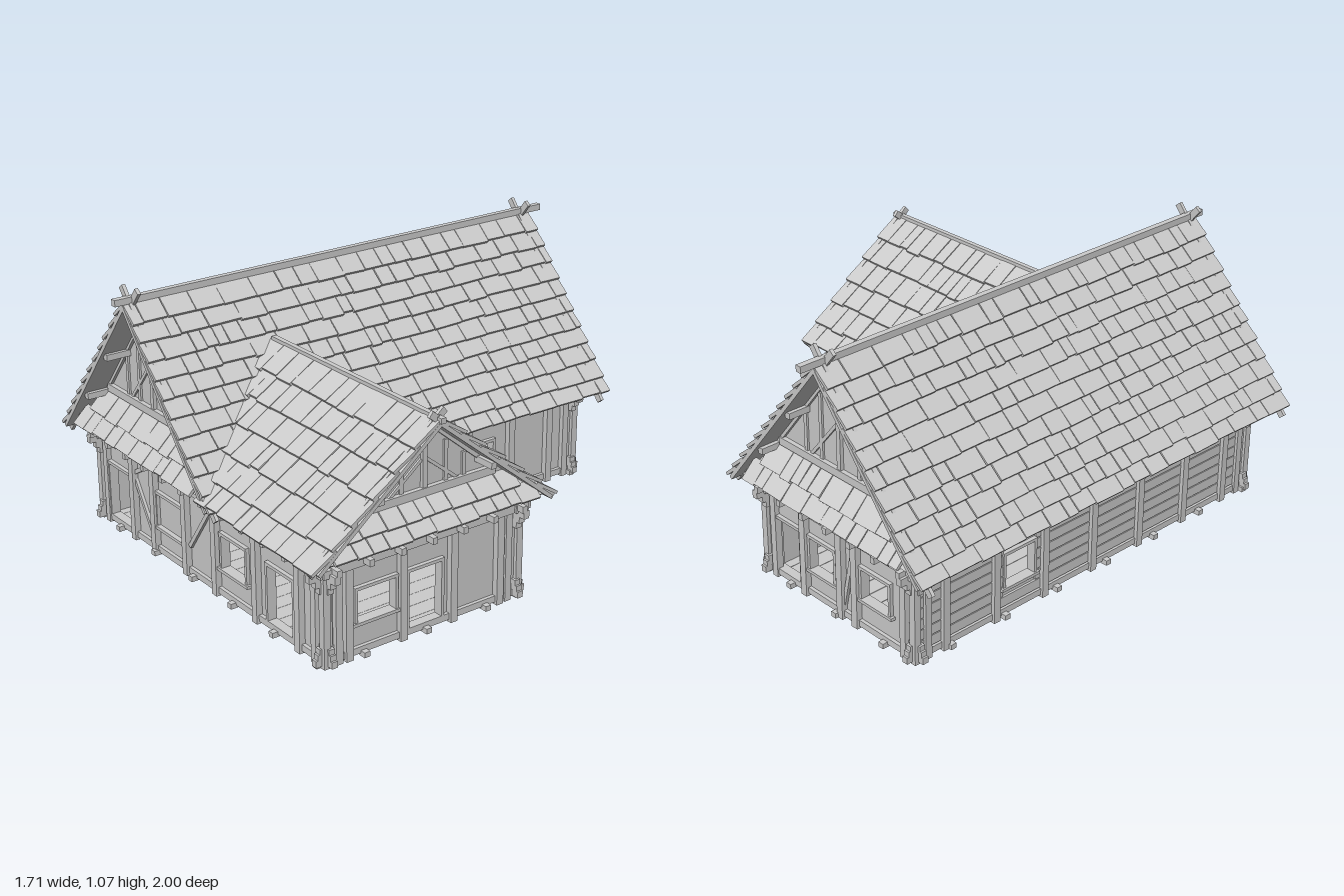
import * as THREE from 'three';
import { mergeGeometries } from 'three/addons/utils/BufferGeometryUtils.js';

const mat = new THREE.MeshStandardMaterial({ color: 0xcccccc, flatShading: true, side: THREE.DoubleSide });
const V = (x, y, z) => new THREE.Vector3(x, y, z);
let seed = 7;
const rnd = (a, b) => {
  seed = (seed * 16807) % 2147483647;
  return a + (b - a) * (seed / 2147483647);
};

function mesh(parent, name, geo) {
  const m = new THREE.Mesh(geo, mat);
  m.name = name;
  parent.add(m);
  return m;
}
// Box given by its lower and upper limits on each axis
function box(parent, name, x0, x1, y0, y1, z0, z1) {
  const m = mesh(parent, name, new THREE.BoxGeometry(x1 - x0, y1 - y0, z1 - z0));
  m.position.set((x0 + x1) / 2, (y0 + y1) / 2, (z0 + z1) / 2);
  return m;
}
// Square timber between two points of the parent's frame
function beam(parent, name, a, b, w, h = w) {
  const m = mesh(parent, name, new THREE.BoxGeometry(w, h, a.distanceTo(b)));
  m.position.copy(a).lerp(b, 0.5);
  m.quaternion.setFromRotationMatrix(new THREE.Matrix4().lookAt(b, a, V(0, 1, 0)));
  return m;
}
function polygon(points) {
  return new THREE.Shape(points.map(([x, y]) => new THREE.Vector2(x, y)));
}
const rect = ([u0, u1, y0, y1]) => polygon([[u0, y0], [u1, y0], [u1, y1], [u0, y1]]);

// Roof plane: local x along the eave, y outwards, z down the slope
function roofSlope(parent, name, ridge, dir, run, drop, courses, maxWidth, range) {
  const g = new THREE.Group();
  g.name = name;
  const len = Math.hypot(run, drop), c = run / len, s = drop / len;
  const n = dir.clone().multiplyScalar(s).add(V(0, c, 0));
  const v = dir.clone().multiplyScalar(c).add(V(0, -s, 0));
  g.applyMatrix4(new THREE.Matrix4().makeBasis(n.clone().cross(v), n, v).setPosition(ridge));
  parent.add(g);
  const [a, b] = range(0), [d, e] = range(1);
  const deck = new THREE.ExtrudeGeometry(polygon([[a, 0], [b, 0], [e, len - 0.01], [d, len - 0.01]]),
    { depth: 0.015, bevelEnabled: false });
  mesh(g, 'roofDeck', deck.rotateX(Math.PI / 2));
  // Overlapping shingles of uneven width, one course after another
  const h = len / courses, parts = [];
  for (let i = 0; i < courses; i++) {
    const [u0, u1] = range((i + 0.5) / courses);
    const stretch = i < courses - 1 ? 1.12 : 0.97;
    for (let u = u0; u < u1 - 0.01;) {
      let w = rnd(0.045, maxWidth);
      if (u + w > u1 - 0.03) w = u1 - u;
      const l = h * rnd(stretch, stretch + 0.1);
      const p = new THREE.BoxGeometry(w - rnd(0.001, 0.005), 0.012, l);
      p.rotateX(-0.014 / h + rnd(-0.02, 0.02)).rotateY(rnd(-0.02, 0.02));
      parts.push(p.translate(u + w / 2, 0.009, i * h + l / 2));
      u += w;
    }
  }
  mesh(g, 'shingles', mergeGeometries(parts));
}

// Timber-framed wall: local x along it, local z outwards
function wall(parent, name, pos, rot, u0, u1, holes, posts, braces = [], shutters = []) {
  const g = new THREE.Group();
  g.name = name;
  g.position.copy(pos);
  g.rotation.y = rot;
  parent.add(g);
  const s = rect([u0, u1, 0.03, 0.39]);
  holes.forEach(o => s.holes.push(rect(o)));
  mesh(g, 'wallPanel', new THREE.ExtrudeGeometry(s, { depth: 0.024, bevelEnabled: false })).position.z = -0.03;
  [...holes, ...shutters].forEach(([a, b, c, d]) => {
    const t = 0.012;
    box(g, 'frameSide', a - t, a, c, d + t, -0.03, 0.008);
    box(g, 'frameSide', b, b + t, c, d + t, -0.03, 0.008);
    box(g, 'frameHead', a - t, b + t, d, d + t, -0.03, 0.01);
    if (c > 0.06) box(g, 'frameSill', a - t - 0.01, b + t + 0.01, c - t, c, -0.03, 0.014);
  });
  posts.forEach(u => box(g, 'post', u - 0.015, u + 0.015, 0.02, 0.385, -0.03, 0.018));
  braces.forEach(([a, b, c, d]) => beam(g, 'brace', V(a, b, -0.002), V(c, d, -0.002), 0.016));
  box(g, 'sillBeam', u0, u1, 0.03, 0.055, -0.03, 0.008);
  box(g, 'topPlate', u0 - 0.03, u1 + 0.03, 0.365, 0.395, -0.035, 0.022);
  const k = Math.round((u1 - u0) / 0.13);
  for (let i = 0; i <= k; i++) {
    const u = u0 + 0.02 + (u1 - u0 - 0.04) * i / k;
    box(g, 'joistEnd', u - 0.01, u + 0.01, 0.375, 0.4, -0.03, 0.06);
    if (i % 2) box(g, 'floorJoistEnd', u - 0.012, u + 0.012, 0.02, 0.04, -0.03, 0.03);
  }
  return g;
}

// Gable with framing; local x across, origin on the centre line
function gable(parent, name, pos, rot, top, half, base, tie, vent) {
  const g = new THREE.Group();
  g.name = name;
  g.position.copy(pos);
  g.rotation.y = rot;
  parent.add(g);
  const at = y => half * (top - y) / (top - base);
  const s = polygon([[-half, base], [half, base], [0, top]]);
  if (vent) s.holes.push(polygon([[-0.055, vent], [0.055, vent], [0.018, vent + 0.075], [-0.018, vent + 0.075]]));
  mesh(g, 'gablePanel', new THREE.ExtrudeGeometry(s, { depth: 0.02, bevelEnabled: false })).position.z = -0.02;
  box(g, 'tieBeam', -at(tie) + 0.01, at(tie) - 0.01, tie - 0.015, tie + 0.015, -0.02, 0.018);
  box(g, 'kingPost', -0.01, 0.01, tie, top - 0.03, -0.02, 0.014);
  if (vent) box(g, 'collarBeam', -at(vent), at(vent), vent - 0.015, vent, -0.02, 0.014);
  for (const m of [-1, 1]) {
    for (const f of [0.3, 0.55]) {
      const x = at(tie) * f, y = tie + (top - tie) * (1 - f);
      box(g, 'stud', m * x - 0.008, m * x + 0.008, tie, Math.min(y, vent || y) - 0.02, -0.01, 0.008);
    }
    const q = tie + (top - tie) * 0.45;
    beam(g, 'gableBrace', V(m * at(tie) * 0.5, tie, 0.002), V(m * 0.01, q, 0.002), 0.012);
    beam(g, 'gableRafter', V(m * half, base, 0), V(0, top, 0), 0.025, 0.02);
  }
}

// Crossing barge boards on a roof edge
function bargeBoards(parent, pos, rot, run, drop, horn) {
  const g = new THREE.Group();
  g.name = 'bargeBoards';
  g.position.copy(pos);
  g.rotation.y = rot;
  parent.add(g);
  for (const m of [-1, 1]) {
    const z = m * 0.006;
    beam(g, 'bargeBoard', V(m * run, -drop, z), V(-m * horn, horn * drop / run, z), 0.014, 0.026);
  }
}

// Stepped bracket stack at an outer corner, facing (sx, sz)
function cornerStack(parent, x, z, sx, sz) {
  const g = new THREE.Group();
  g.name = 'cornerStack';
  g.position.set(x, 0, z);
  parent.add(g);
  const arm = (y0, y1, r) => {
    const y = (y0 + y1) / 2, h = y1 - y0;
    beam(g, 'bracketArm', V(-sx * 0.05, y, -sz * 0.012), V(sx * r, y, -sz * 0.012), 0.024, h);
    beam(g, 'bracketArm', V(-sx * 0.012, y, -sz * 0.05), V(-sx * 0.012, y, sz * r), 0.024, h);
  };
  [[0.03, 0.055, 0.038], [0.055, 0.075, 0.03], [0.075, 0.095, 0.022],
    [0.3, 0.325, 0.02], [0.325, 0.35, 0.035], [0.35, 0.38, 0.06]].forEach(a => arm(...a));
  for (const [a, b] of [[0, 0], [0.05, 0], [0, 0.05]])
    box(g, 'cornerPost', -sx * a - 0.014, -sx * a + 0.014, 0.02, 0.385, -sz * b - 0.014, -sz * b + 0.014);
}

export function createModel() {
  const house = new THREE.Group();
  house.name = 'house';
  const H = Math.PI / 2;

  // Floor with plank joints
  for (let i = 0; i < 12; i++) {
    const x0 = -0.72 + i * 0.8 / 12;
    box(house, 'mainFloorPlank', x0, x0 + 0.065, 0.025, 0.04, -0.86, 0.87);
  }
  for (let i = 0; i < 10; i++) {
    const x0 = 0.08 + i * 0.068;
    box(house, 'wingFloorPlank', x0, x0 + 0.067, 0.025, 0.04, 0.03, 0.87);
  }

  // Walls
  wall(house, 'frontWall', V(0, 0, 0.87), 0, -0.72, 0.76,
    [[-0.65, -0.5, 0.05, 0.27], [0.14, 0.29, 0.14, 0.27], [0.43, 0.58, 0.045, 0.27]],
    [-0.47, -0.32, -0.1, 0.1, 0.36, 0.62],
    [[-0.46, 0.27, -0.34, 0.08], [0.08, 0.36, -0.08, 0.14], [-0.46, 0.3, -0.34, 0.37]], [[-0.3, -0.13, 0.14, 0.27]]);
  wall(house, 'wingEndWall', V(0.76, 0, 0), H, -0.87, -0.03,
    [[-0.74, -0.58, 0.15, 0.27], [-0.52, -0.38, 0.05, 0.27]], [-0.78, -0.55, -0.33, -0.12]);
  wall(house, 'wingBackWall', V(0, 0, 0.03), Math.PI, -0.76, -0.08,
    [[-0.58, -0.43, 0.045, 0.27], [-0.29, -0.14, 0.14, 0.27]], [-0.62, -0.36, -0.1]);
  wall(house, 'mainInnerWall', V(0.08, 0, 0), H, -0.03, 0.86,
    [[0.36, 0.43, 0.14, 0.27]], [0.06, 0.3, 0.52, 0.72],
    [[0.11, 0.26, 0.25, 0.15]], [[0.11, 0.25, 0.14, 0.27]]);
  wall(house, 'mainBackWall', V(0, 0, -0.86), Math.PI, -0.08, 0.72,
    [[-0.03, 0.11, 0.05, 0.27], [0.17, 0.3, 0.14, 0.27], [0.45, 0.59, 0.15, 0.27]], [0.14, 0.34, 0.42],
    [[0.35, 0.08, 0.41, 0.35]]);
  const side = wall(house, 'mainSideWall', V(-0.72, 0, 0), -H, -0.86, 0.87,
    [[-0.44, -0.3, 0.14, 0.27]], [-0.73, -0.49, -0.25, 0, 0.25, 0.5, 0.73]);
  // Horizontal boarding around the side window
  for (let y = 0.06; y < 0.36; y += 0.043) {
    const clear = y > 0.28 || y < 0.09;
    for (const [a, b] of clear ? [[-0.86, 0.87]] : [[-0.86, -0.45], [-0.29, 0.87]])
      box(side, 'wallBoard', a, b, y, y + 0.039, -0.01, 0.003);
  }
  [[-0.72, 0.87, -1, 1], [0.76, 0.87, 1, 1], [0.76, 0.03, 1, -1], [-0.72, -0.86, -1, -1], [0.08, -0.86, 1, -1]]
    .forEach(c => cornerStack(house, ...c));

  // Main roof
  const top = V(-0.32, 1.022, 0);
  roofSlope(house, 'mainRoofRight', top, V(1, 0, 0), 0.513, 0.63, 11, 0.15, () => [-0.965, 0.94]);
  roofSlope(house, 'mainRoofLeft', top, V(-1, 0, 0), 0.513, 0.63, 11, 0.15, () => [-0.94, 0.965]);
  box(house, 'mainRidgePole', -0.332, -0.308, 1.025, 1.05, -1, 1);
  bargeBoards(house, V(-0.32, 1.022, 0.93), 0, 0.53, 0.655, 0.045);
  bargeBoards(house, V(-0.32, 1.022, -0.895), 0, 0.53, 0.655, 0.045);

  // Wing roof, running into the main slope
  const start = t => -0.32 + (1.022 - 0.835 + 0.415 * t) * 0.513 / 0.63 - 0.02;
  const wingTop = V(0, 0.83, 0.445);
  roofSlope(house, 'wingRoofFront', wingTop, V(0, 0, 1), 0.513, 0.415, 6, 0.12, t => [start(t), 0.84]);
  roofSlope(house, 'wingRoofBack', wingTop, V(0, 0, -1), 0.513, 0.415, 6, 0.12, t => [-0.84, -start(t)]);
  box(house, 'wingRidgePole', -0.14, 0.85, 0.825, 0.845, 0.435, 0.455);
  bargeBoards(house, V(0.815, 0.83, 0.445), H, 0.52, 0.42, 0.035);

  // Gables and the pent roofs below them
  gable(house, 'frontGable', V(-0.32, 0, 0.85), 0, 1.0, 0.49, 0.39, 0.585, 0.9);
  gable(house, 'backGable', V(-0.32, 0, -0.83), Math.PI, 1.0, 0.49, 0.39, 0.585, 0.9);
  gable(house, 'wingGable', V(0.74, 0, 0.445), H, 0.81, 0.48, 0.41, 0.545, 0);
  const span = (c, a, b) => t => [c - a - (b - a) * t, c + a + (b - a) * t];
  roofSlope(house, 'frontPentRoof', V(0, 0.565, 0.855), V(0, 0, 1), 0.1, 0.14, 2, 0.12, span(-0.32, 0.34, 0.44));
  roofSlope(house, 'backPentRoof', V(0, 0.565, -0.835), V(0, 0, -1), 0.1, 0.14, 2, 0.12, span(0.32, 0.34, 0.44));
  roofSlope(house, 'wingPentRoof', V(0.745, 0.53, 0), V(1, 0, 0), 0.09, 0.105, 2, 0.12, span(-0.445, 0.35, 0.47));

  // Purlins carrying the roof overhangs
  for (const m of [-1, 1]) {
    for (const f of [0.35, 0.68]) {
      const x = -0.32 + m * 0.5 * f, y = 0.985 - 0.62 * f;
      box(house, 'mainPurlin', x - 0.012, x + 0.012, y - 0.012, y + 0.012, -0.92, 0.95);
    }
    const z = 0.445 + m * 0.24;
    box(house, 'wingPurlin', 0.1, 0.83, 0.59, 0.614, z - 0.012, z + 0.012);
  }
  return house;
}
